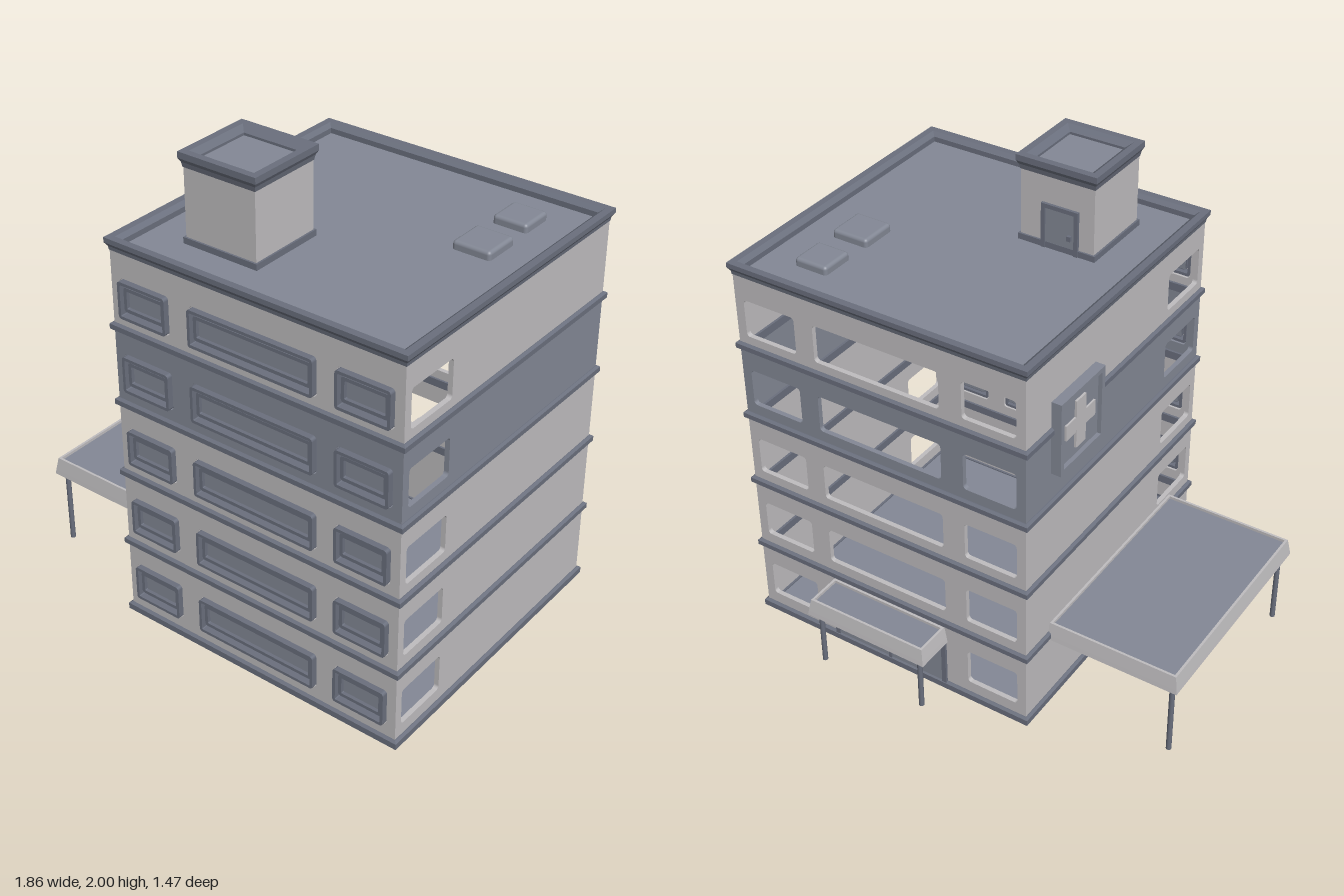
import * as THREE from 'three';
import { RoundedBoxGeometry } from 'three/addons/geometries/RoundedBoxGeometry.js';

const mat = (name, color, side = THREE.FrontSide) => {
  const m = new THREE.MeshStandardMaterial({ color, side });
  m.name = name;
  return m;
};

export function createModel() {
  const root = new THREE.Group();
  root.name = 'building';
  const light = mat('light plaster', 0xbebcbe);
  const slate = mat('slate', 0x838895);
  const trim = mat('dark slate trim', 0x6a6f7d);

  const add = (name, geo, material, parent = root) => {
    const m = new THREE.Mesh(geo, material);
    m.name = name;
    parent.add(m);
    return m;
  };
  // Box given by its limits
  const box = (name, x0, x1, y0, y1, z0, z1, material, parent) => {
    const m = add(name, new THREE.BoxGeometry(x1 - x0, y1 - y0, z1 - z0), material, parent);
    m.position.set((x0 + x1) / 2, (y0 + y1) / 2, (z0 + z1) / 2);
    return m;
  };
  // Rounded rectangle outline, for window holes and frames
  const roundRect = (target, u0, u1, y0, y1, r) => {
    target.moveTo(u0 + r, y0);
    target.lineTo(u1 - r, y0);
    target.absarc(u1 - r, y0 + r, r, -Math.PI / 2, 0);
    target.lineTo(u1, y1 - r);
    target.absarc(u1 - r, y1 - r, r, 0, Math.PI / 2);
    target.lineTo(u0 + r, y1);
    target.absarc(u0 + r, y1 - r, r, Math.PI / 2, Math.PI);
    target.lineTo(u0, y0 + r);
    target.absarc(u0 + r, y0 + r, r, Math.PI, Math.PI * 1.5);
    return target;
  };
  const extrude = (shape, depth) =>
    new THREE.ExtrudeGeometry(shape, { depth, bevelEnabled: false, curveSegments: 4 });
  // Closed profile of [outward offset, y] swept around a rectangle
  const rim = (x0, x1, z0, z1, profile) => {
    const corner = (k, [o, y]) => [
      [x1 + o, y, z1 + o], [x1 + o, y, z0 - o], [x0 - o, y, z0 - o], [x0 - o, y, z1 + o],
    ][k % 4];
    const pos = [];
    for (let k = 0; k < 4; k++) {
      profile.forEach((p, i) => {
        const q = profile[(i + 1) % profile.length];
        const [a, b, c, d] = [corner(k, p), corner(k + 1, p), corner(k + 1, q), corner(k, q)];
        pos.push(...a, ...b, ...c, ...a, ...c, ...d);
      });
    }
    const g = new THREE.BufferGeometry();
    g.setAttribute('position', new THREE.Float32BufferAttribute(pos, 3));
    g.computeVertexNormals();
    return g;
  };

  const X0 = -0.37, X1 = 0.915, Z0 = -0.565, Z1 = 0.715, T = 0.02;
  const floors = [[0.03, 0.34, 0.17], [0.355, 0.665, 0.49], [0.68, 0.985, 0.81],
    [1.0, 1.31, 1.135], [1.325, 1.645, 1.45]];
  const windows = [[-0.33, -0.1], [-0.003, 0.555], [0.64, 0.875]];

  // Storeys: hollow walls with window openings
  floors.forEach(([y0, y1, wy], f) => {
    const storey = new THREE.Group();
    storey.name = `storey${f + 1}`;
    root.add(storey);
    const paint = f === 3 ? slate : light;
    const wall = (u0, u1, holes) => {
      const s = new THREE.Shape();
      s.moveTo(u0, y0); s.lineTo(u1, y0); s.lineTo(u1, y1); s.lineTo(u0, y1); s.closePath();
      holes.forEach(([a, b]) => s.holes.push(roundRect(new THREE.Path(), a, b, wy - 0.08, wy + 0.08, 0.015)));
      return extrude(s, T);
    };
    add('frontWall', wall(X0, X1, windows), paint, storey).position.z = Z1 - T;
    add('backWall', wall(X0, X1, f === 0 ? [windows[0], windows[2]] : windows), paint, storey).position.z = Z0;
    [['leftWall', X1], ['rightWall', X0 + T]].forEach(([name, x]) => {
      const m = add(name, wall(Z0 + T, Z1 - T, [[0.44, 0.68]]), paint, storey);
      m.rotation.y = -Math.PI / 2;
      m.position.x = x;
    });

    // Front windows: outer frame, then a smaller framed pane
    windows.forEach(([a, b]) => {
      const ring = (name, du, dy, w, depth, z) => {
        const s = roundRect(new THREE.Shape(), a + du, b - du, wy - 0.08 + dy, wy + 0.08 - dy, 0.012);
        s.holes.push(roundRect(new THREE.Path(), a + du + w, b - du - w,
          wy - 0.08 + dy + w, wy + 0.08 - dy - w, 0.004));
        add(name, extrude(s, depth), trim, storey).position.z = z;
      };
      ring('windowFrame', 0.004, 0.004, 0.012, 0.035, 0.7);
      ring('paneFrame', 0.02, 0.03, 0.014, 0.02, 0.7);
      box('windowPane', a + 0.025, b - 0.025, wy - 0.046, wy + 0.046, 0.698, 0.706, slate, storey);
    });
  });

  // Ground slab, bands between storeys, flat roof and flared parapet
  box('groundSlab', X0, X1, 0, 0.035, Z0, Z1, slate);
  [[0, 0.04], [0.33, 0.365], [0.655, 0.69], [0.975, 1.01], [1.3, 1.335]].forEach(([a, b]) =>
    add('band', rim(X0, X1, Z0, Z1, [[0.003, a], [0.013, a + 0.007], [0.013, b - 0.007],
      [0.003, b], [-0.03, b], [-0.03, a]]), trim));
  box('roof', X0 + 0.01, X1 - 0.01, 1.625, 1.643, Z0 + 0.01, Z1 - 0.01, slate);
  add('parapet', rim(X0, X1, Z0, Z1, [[0.002, 1.63], [0.004, 1.645], [0.014, 1.66], [0.014, 1.68],
    [-0.015, 1.68], [-0.033, 1.665], [-0.033, 1.63]]), trim);

  // Roof vents
  [[0.6, 0.745, -0.41, -0.265], [0.595, 0.755, -0.17, -0.01]].forEach(([a, b, c, d]) =>
    add('roofVent', new RoundedBoxGeometry(b - a, 0.05, d - c, 3, 0.014), slate)
      .position.set((a + b) / 2, 1.652, (c + d) / 2));

  // Stair tower with plinth, cap, door and handle
  const tower = new THREE.Group();
  tower.name = 'stairTower';
  root.add(tower);
  box('towerWalls', -0.17, 0.15, 1.64, 1.965, 0.21, 0.53, light, tower);
  add('towerPlinth', rim(-0.17, 0.15, 0.21, 0.53,
    [[0.008, 1.64], [0.008, 1.668], [-0.01, 1.668], [-0.01, 1.64]]), trim, tower);
  add('towerCap', rim(-0.17, 0.15, 0.21, 0.53, [[0.002, 1.94], [0.006, 1.96], [0.014, 1.975], [0.014, 2],
    [-0.015, 2], [-0.04, 1.98], [-0.04, 1.95]]), trim, tower);
  box('towerRoof', -0.14, 0.12, 1.96, 1.97, 0.24, 0.5, slate, tower);
  box('towerDoor', -0.09, 0.04, 1.64, 1.815, 0.203, 0.215, slate, tower);
  [[-0.105, -0.088, 1.64], [0.038, 0.055, 1.64], [-0.105, 0.055, 1.813]].forEach(([a, b, y]) =>
    box('doorFrame', a, b, y, 1.83, 0.198, 0.215, trim, tower));
  box('doorHandle', -0.078, -0.062, 1.705, 1.725, 0.19, 0.205, trim, tower);

  // Canopies: tapered fascia, recessed deck and slim posts
  const canopy = (name, x0, x1, z0, z1, y0, y1, posts) => {
    const g = new THREE.Group();
    g.name = name;
    root.add(g);
    add('fascia', rim(x0, x1, z0, z1, [[0, y0], [-0.003, y0 + 0.02], [-0.012, y1],
      [-0.022, y1], [-0.022, y0]]), light, g);
    box('deck', x0 + 0.015, x1 - 0.015, y1 - 0.025, y1 - 0.012, z0 + 0.015, z1 - 0.015, slate, g);
    box('soffit', x0 + 0.015, x1 - 0.015, y0 + 0.002, y0 + 0.01, z0 + 0.015, z1 - 0.015, light, g);
    posts.forEach(([x, z]) => add('post', new THREE.CylinderGeometry(0.011, 0.011, y0 + 0.005, 12), trim, g)
      .position.set(x, y0 / 2 + 0.0025, z));
  };
  canopy('sideCanopy', -0.935, -0.36, -0.41, 0.555, 0.33, 0.405, [[-0.9, 0.52], [-0.9, -0.375]]);
  canopy('entranceCanopy', -0.005, 0.555, -0.732, -0.555, 0.25, 0.323, [[0.035, -0.697], [0.515, -0.697]]);

  // Back entrance: double door with frame
  box('entranceDoor', 0.02, 0.53, 0.035, 0.25, -0.571, -0.562, slate);
  [[0.0, 0.02], [0.268, 0.282], [0.53, 0.55]].forEach(([a, b]) =>
    box('entranceFrame', a, b, 0.035, 0.255, -0.576, -0.56, trim));

  // Wall sign with rim and plain cross
  const sign = new THREE.Group();
  sign.name = 'wallSign';
  root.add(sign);
  box('signPlate', -0.395, -0.365, 1.135, 1.44, -0.4, -0.1, slate, sign);
  [[1.13, 1.15, -0.4, -0.1], [1.425, 1.445, -0.4, -0.1], [1.13, 1.445, -0.4, -0.38],
    [1.13, 1.445, -0.12, -0.1]].forEach(([a, b, c, d]) =>
    box('signRim', -0.412, -0.366, a, b, c, d, slate, sign));
  box('crossUpright', -0.404, -0.39, 1.185, 1.39, -0.283, -0.217, light, sign);
  box('crossBar', -0.403, -0.39, 1.255, 1.32, -0.35, -0.15, light, sign);

  return root;
}
